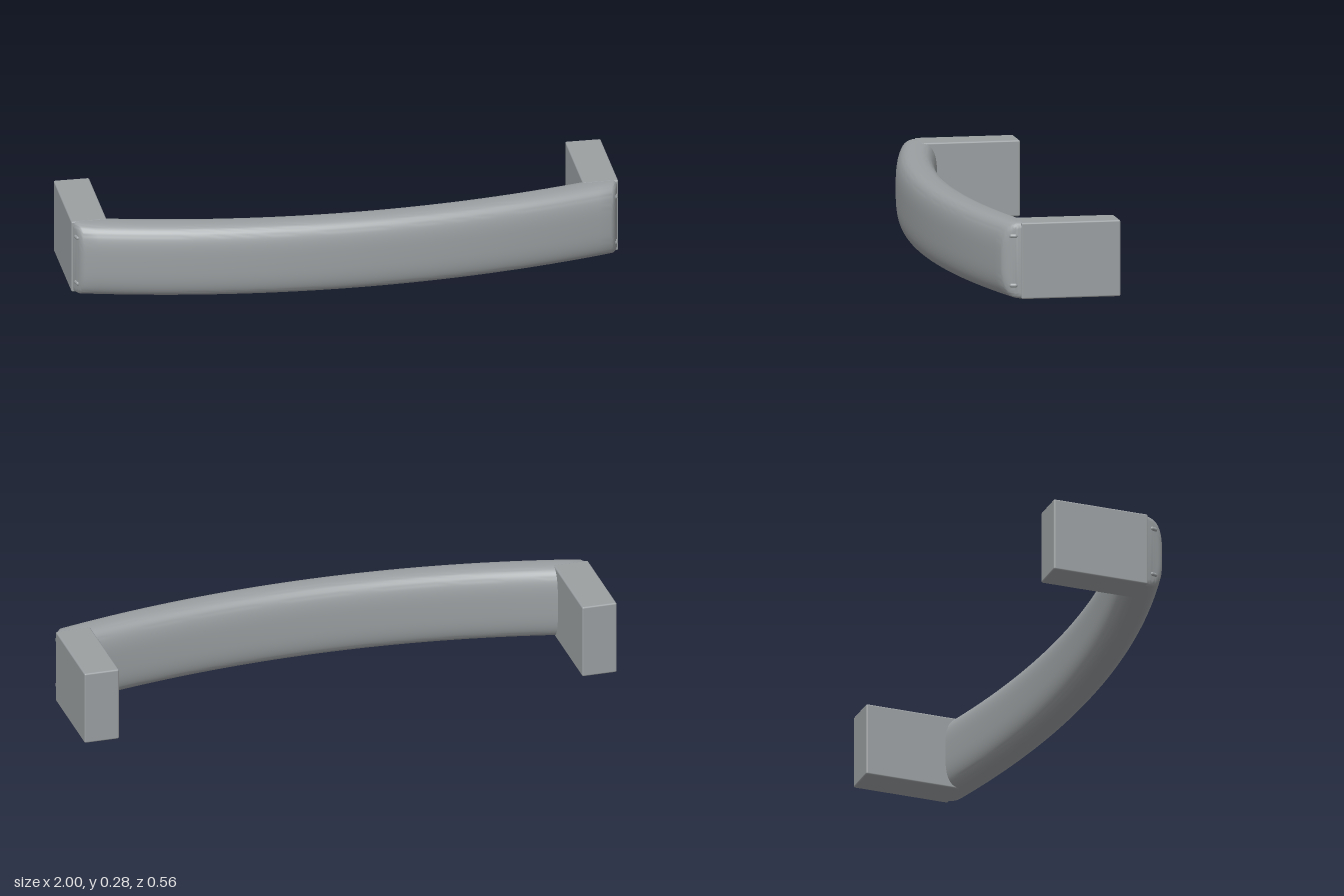
import * as THREE from 'three';
import { toCreasedNormals } from 'three/addons/utils/BufferGeometryUtils.js';
import { RoundedBoxGeometry } from 'three/addons/geometries/RoundedBoxGeometry.js';

const H = 0.278;                        // overall height
const R = 3.75, ZC = -3.546;            // arc radius and arc centre
const HALF_T = 0.073, HALF_H = 0.1385;  // half thickness and half height of the grip
const SIDES = 64;

// Soft rectangular section: u runs across the thickness, v up the height
function section(i) {
  const a = (i / SIDES) * Math.PI * 2;
  const soften = (c) => Math.sign(c) * Math.pow(Math.abs(c), 2 / 3.1);
  return [soften(Math.cos(a)) * HALF_T, soften(Math.sin(a)) * HALF_H];
}

// Curved grip: rings along the arc, with slanted, rounded ends
function gripGeometry() {
  // Each ring: position along the grip (-1 to 1), inset of the section, setback from the end
  const steps = 5, rings = [];
  const endRing = (t, k) => {
    const a = (k / steps) * Math.PI / 2;
    rings.push([t, 0.02 * (1 - Math.cos(a)), 0.015 * (1 - Math.sin(a))]);
  };
  for (let k = steps; k >= 0; k--) endRing(-1, k);
  for (let k = 1; k < 40; k++) rings.push([-1 + k / 20, 0, 0.015]);
  for (let k = 0; k <= steps; k++) endRing(1, k);

  const pos = [], idx = [];
  for (const [t, inset, back] of rings) {
    for (let i = 0; i < SIDES; i++) {
      const [su, sv] = section(i);
      const u = su * (1 - inset / HALF_T), v = sv * (1 - inset / HALF_H);
      const slant = 0.025 * Math.max(0, u / HALF_T);
      const x = t * (0.9995 - slant - back);
      pos.push(x, H / 2 + v, ZC + Math.sqrt((R + u) ** 2 - x * x));
    }
  }
  for (let r = 0; r < rings.length - 1; r++) {
    for (let i = 0; i < SIDES; i++) {
      const a = r * SIDES + i, b = r * SIDES + (i + 1) % SIDES;
      idx.push(a, a + SIDES, b, b, a + SIDES, b + SIDES);
    }
  }
  // End caps, joined in strips from top half to bottom half
  const last = (rings.length - 1) * SIDES;
  for (let i = 0; i < SIDES / 2; i++) {
    const j = i + 1, m = (SIDES - i) % SIDES, n = SIDES - j;
    for (const [p, q, s] of [[i, j, n], [i, n, m]]) {
      if (p === q || q === s || p === s) continue;
      idx.push(p, q, s, last + p, last + s, last + q);
    }
  }
  const g = new THREE.BufferGeometry();
  g.setAttribute('position', new THREE.Float32BufferAttribute(pos, 3));
  g.setIndex(idx);
  return toCreasedNormals(g, 0.6);
}

export function createModel() {
  const group = new THREE.Group();
  const mat = new THREE.MeshStandardMaterial({ color: 0x9b9fa1 });
  const add = (name, geo, x, y, z) => {
    const m = new THREE.Mesh(geo, mat);
    m.name = name;
    m.position.set(x, y, z);
    group.add(m);
    return m;
  };

  add('grip', gripGeometry(), 0, 0, 0);

  const postGeo = new RoundedBoxGeometry(0.13, H, 0.363, 3, 0.006);
  const pegGeo = new THREE.CapsuleGeometry(0.008, 0.014, 4, 12);
  for (const s of [1, -1]) {
    const side = s > 0 ? 'left' : 'right';
    // Mounting post
    add(side + 'Post', postGeo, s * 0.935, H / 2, -0.0965);
    // Small pegs on the slanted end
    for (const dy of [0.09, -0.09]) {
      const peg = add(side + (dy > 0 ? 'Upper' : 'Lower') + 'Peg', pegGeo, s * 0.984, H / 2 + dy, 0.112);
      peg.rotation.set(Math.PI / 2, 0, s * 0.3);
    }
  }
  return group;
}
